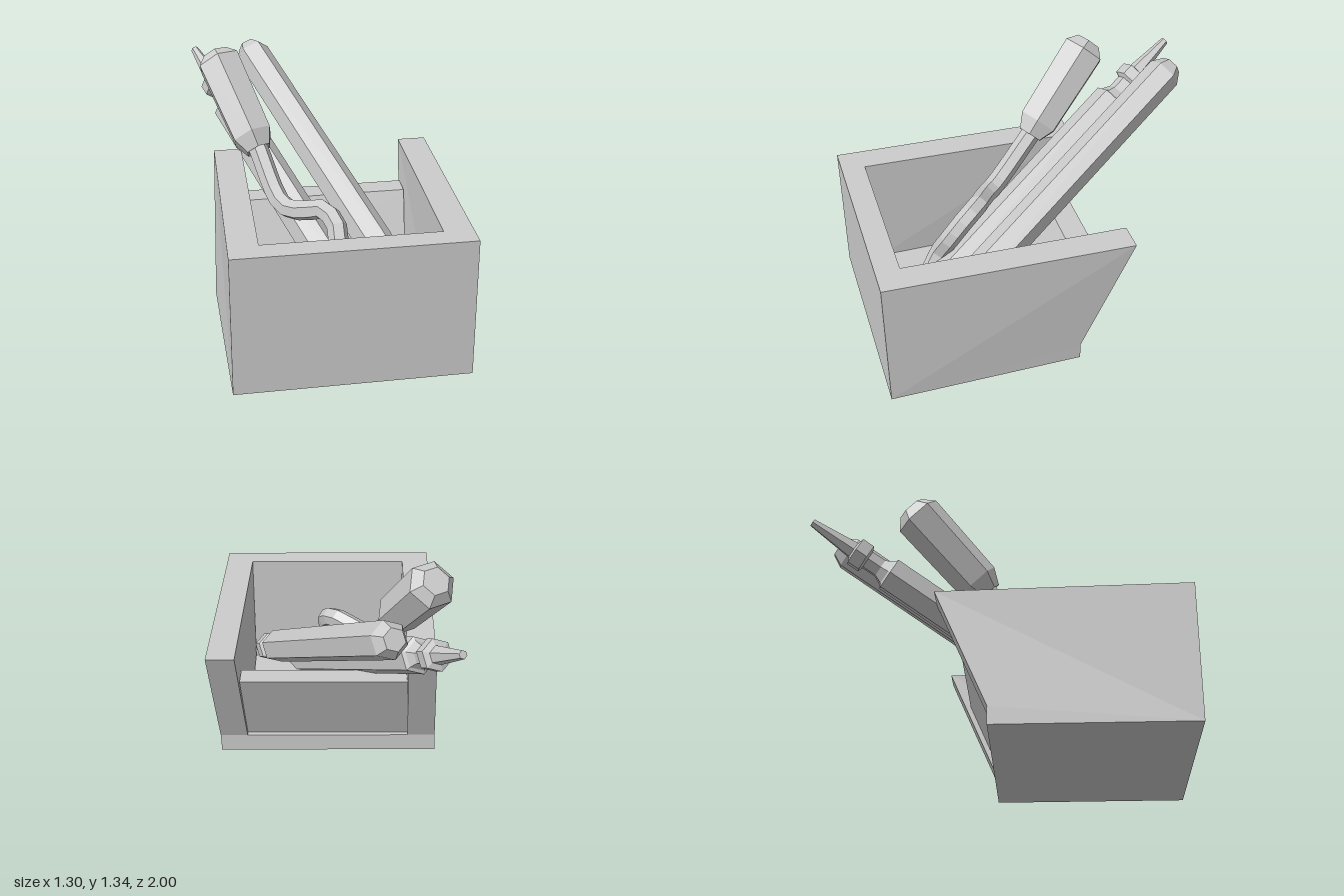
import * as THREE from 'three';

const material = new THREE.MeshStandardMaterial({ color: 0xcccccc, flatShading: true, side: THREE.DoubleSide });

function add(group, name, geometry) {
  const mesh = new THREE.Mesh(geometry, material);
  mesh.name = name;
  group.add(mesh);
  return mesh;
}

// Board with a [z, y] outline spanning x0..x1, leaning slightly to +x toward the back top
function board(outline, x0, x1) {
  const shape = new THREE.Shape(outline.map(([z, y]) => new THREE.Vector2(-z, y)));
  const geo = new THREE.ExtrudeGeometry(shape, { depth: x1 - x0, bevelEnabled: false });
  geo.rotateY(Math.PI / 2).translate(x0, 0, 0);
  const p = geo.attributes.position;
  for (let i = 0; i < p.count; i++) {
    p.setX(i, p.getX(i) + 0.04 * ((1 - p.getZ(i)) / 1.34) * (p.getY(i) / 0.76));
  }
  geo.computeVertexNormals();
  return geo;
}

// Six-sided turned part from a to b; profile is [radius, fraction of length]
function turned(group, name, a, b, profile, roll = 0) {
  const start = new THREE.Vector3(...a);
  const dir = new THREE.Vector3(...b).sub(start);
  const length = dir.length();
  const geo = new THREE.LatheGeometry(profile.map(([r, t]) => new THREE.Vector2(r, t * length)), 6);
  geo.rotateY(roll);
  const mesh = add(group, name, geo);
  mesh.position.copy(start);
  mesh.quaternion.setFromUnitVectors(new THREE.Vector3(0, 1, 0), dir.normalize());
}

export function createModel() {
  const model = new THREE.Group();
  model.name = 'toolBox';

  // Open box with an overhanging, recessed back panel
  const box = new THREE.Group();
  box.name = 'box';
  model.add(box);
  const side = [[1, 0], [-0.06, 0], [-0.06, 0.1], [-0.34, 0.76], [1, 0.76]];
  add(box, 'rightWall', board(side, -0.62, -0.465));
  add(box, 'leftWall', board(side, 0.455, 0.61));
  add(box, 'floor', board([[1, 0], [-0.06, 0], [-0.06, 0.1], [1, 0.1]], -0.465, 0.455));
  add(box, 'frontWall', board([[1, 0.1], [0.87, 0.1], [0.87, 0.76], [1, 0.76]], -0.465, 0.455));
  add(box, 'backPanel', board([[0.1, 0.1], [-0.03, 0.1], [-0.22, 0.55], [-0.09, 0.55]], -0.465, 0.455));

  // Cranked tool: fat handle and a bent shaft
  const crank = new THREE.Group();
  crank.name = 'crankedTool';
  model.add(crank);
  turned(crank, 'crankHandle', [-0.35, 0.86, -0.07], [-0.54, 1.29, -0.48],
    [[0, 0.02], [0.06, 0.02], [0.075, 0], [0.12, 0.14], [0.13, 0.91], [0.077, 1], [0, 1]]);
  const path = new THREE.CatmullRomCurve3([
    [-0.36, 0.89, -0.1], [-0.25, 0.63, 0.17], [-0.16, 0.63, 0.26], [-0.06, 0.66, 0.32], [0, 0.61, 0.42],
    [-0.01, 0.5, 0.5], [-0.08, 0.36, 0.55], [-0.06, 0.24, 0.62], [0, 0.1, 0.75],
  ].map(p => new THREE.Vector3(...p)), false, 'centripetal');
  add(crank, 'crankShaft', new THREE.TubeGeometry(path, 20, 0.055, 6));

  // Long tool standing on its tip
  turned(model, 'tipDownTool', [0.43, 0.18, 0.83], [-0.315, 1.19, -0.9], [
    [0, 0], [0.025, 0], [0.05, 0.08], [0.085, 0.085], [0.085, 0.12], [0.055, 0.125],
    [0.055, 0.16], [0.1, 0.17], [0.1, 0.97], [0.06, 1], [0, 1],
  ], Math.PI / 6);

  // Long tool with its tip up
  turned(model, 'tipUpTool', [0.17, 0.1, 0.84], [-0.63, 1.16, -0.99], [
    [0, 0], [0.1, 0], [0.1, 0.785], [0.08, 0.79], [0.055, 0.81], [0.055, 0.845],
    [0.085, 0.85], [0.085, 0.88], [0.05, 0.885], [0.022, 1], [0, 1],
  ], Math.PI / 6);

  return model;
}
